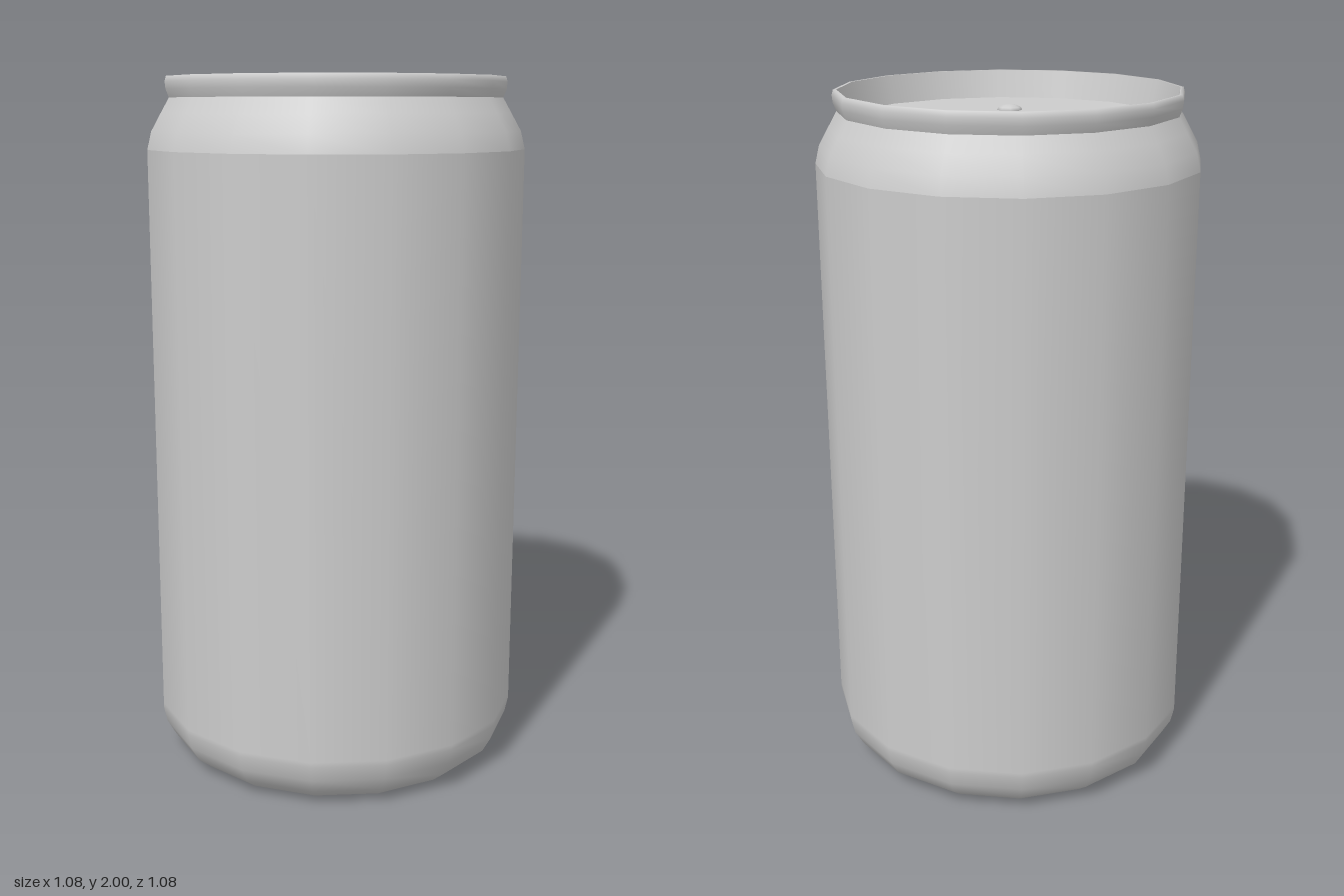
import * as THREE from 'three';

const SIDES = 16;
const LID_Y = 1.92;

export function createModel() {
  const can = new THREE.Group();
  can.name = 'drinkCan';
  const metal = new THREE.MeshStandardMaterial({ color: 0xcccccc, side: THREE.DoubleSide });
  metal.name = 'plain aluminium';

  const add = (name, geometry, y = 0, z = 0) => {
    const mesh = new THREE.Mesh(geometry, metal);
    mesh.name = name;
    mesh.position.set(0, y, z);
    can.add(mesh);
  };
  // Turned part; profile pairs are [radius, height], bottom to top on the outside
  const turn = (name, profile) => add(name, new THREE.LatheGeometry(
    profile.map(([r, y]) => new THREE.Vector2(r, y)), SIDES));

  // Shell: base curve and straight wall, then shoulder and rolled rim
  turn('body', [[0.42, 0], [0.465, 0.012], [0.505, 0.045], [0.53, 0.09],
    [0.54, 0.135], [0.54, 0.15], [0.54, 1.8]]);
  turn('shoulder', [[0.54, 1.8], [0.528, 1.85], [0.5, 1.9], [0.476, 1.942]]);
  turn('rim', [[0.476, 1.942], [0.485, 1.965], [0.487, 1.985], [0.483, 2], [0.474, 2]]);
  turn('rimInnerWall', [[0.474, 2], [0.456, LID_Y]]);

  // Concave underside
  turn('baseDome', [[0, 0.13], [0.11, 0.122], [0.22, 0.098], [0.33, 0.055], [0.42, 0]]);

  // Recessed lid
  turn('lid', [[0.456, LID_Y], [0, LID_Y]]);

  // Flat rounded plate lying on the lid
  const plate = (name, w, d, r, height, z) => {
    const x = w / 2, y = d / 2, s = new THREE.Shape();
    s.moveTo(x, -y + r);
    s.absarc(x - r, y - r, r, 0, Math.PI / 2);
    s.absarc(-x + r, y - r, r, Math.PI / 2, Math.PI);
    s.absarc(-x + r, -y + r, r, Math.PI, Math.PI * 1.5);
    s.absarc(x - r, -y + r, r, Math.PI * 1.5, Math.PI * 2);
    const g = new THREE.ExtrudeGeometry(s, { depth: height, bevelEnabled: false, curveSegments: 2 });
    g.rotateX(-Math.PI / 2);
    add(name, g, LID_Y, z);
  };
  plate('mouthPanel', 0.35, 0.25, 0.115, 0.006, 0.165);
  plate('pullTab', 0.204, 0.345, 0.075, 0.022, -0.104);

  // Domed rivet holding the tab
  const rivet = new THREE.SphereGeometry(0.035, 8, 3, 0, Math.PI * 2, 0, Math.PI / 2);
  rivet.scale(1, 0.45, 1);
  add('rivet', rivet, LID_Y + 0.022);

  return can;
}
